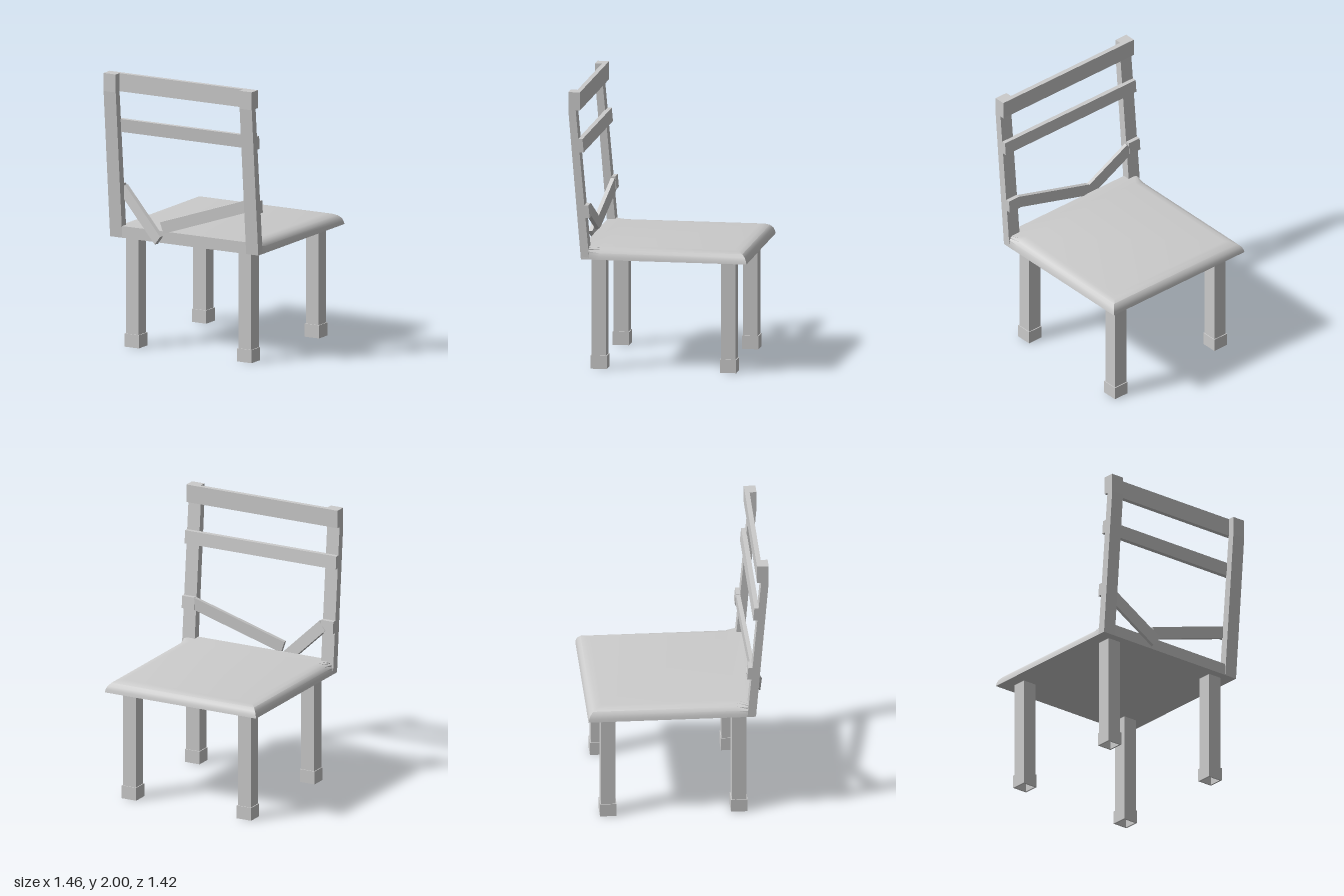
import * as THREE from 'three';
import { toCreasedNormals } from 'three/addons/utils/BufferGeometryUtils.js';

const mat = new THREE.MeshStandardMaterial({ color: 0xcccccc });
const HALF = 0.61; // half width of the chair

export function createModel() {
  const model = new THREE.Group();
  const chair = new THREE.Group(); // chair faces its own +x, then turns slightly
  chair.name = 'chair';
  chair.rotation.y = 0.17;
  model.add(chair);

  const add = (name, geometry, x = 0, y = 0, z = 0) => {
    const mesh = new THREE.Mesh(geometry, mat);
    mesh.name = name;
    mesh.position.set(x, y, z);
    chair.add(mesh);
    return mesh;
  };

  // Side profile (x, y) swept across the width from z0 to z1
  const sweep = (name, points, z0, z1) => {
    const shape = new THREE.Shape(points.map(([x, y]) => new THREE.Vector2(x, y)));
    add(name, new THREE.ExtrudeGeometry(shape, { depth: z1 - z0, bevelEnabled: false }), 0, 0, z0);
  };

  add('seat', seatGeometry());

  // Legs with hollow, slightly wider feet
  const square = (P, w) => new P([[-w, -w], [w, -w], [w, w], [-w, w]].map(([x, y]) => new THREE.Vector2(x, y)));
  const footShape = square(THREE.Shape, 0.059);
  footShape.holes.push(square(THREE.Path, 0.048));
  const footGeo = new THREE.ExtrudeGeometry(footShape, { depth: 0.095, bevelEnabled: false }).rotateX(-Math.PI / 2);
  const legGeo = new THREE.BoxGeometry(0.105, 0.73, 0.105);
  for (const x of [-0.438, 0.49]) {
    for (const z of [-0.464, 0.464]) {
      const end = x > 0 ? 'front' : 'rear';
      add(end + 'Leg', legGeo, x, 0.445, z);
      add(end + 'Foot', footGeo, x, 0, z);
    }
  }

  // Leaning back posts with upright tops
  const postFront = (y) => -0.49 - 0.0907 * (Math.min(y, 1.87) - 0.8);
  const post = [[-0.55, 0.8], [-0.49, 0.8], [postFront(1.87), 1.87], [postFront(2), 2], [-0.64, 2], [-0.64, 1.87]];
  // Board lying against the front of the posts
  const board = (name, y0, y1, z0, z1) => sweep(name, [
    [postFront(y0) - 0.004, y0], [postFront(y0) + 0.03, y0],
    [postFront(y1) + 0.03, y1], [postFront(y1) - 0.004, y1],
  ], z0, z1);

  for (const z of [-HALF, HALF - 0.1]) {
    sweep('backPost', post, z, z + 0.1);
    board('brokenSlatStub', 1.1, 1.19, z, z + 0.1);
  }
  board('topRail', 1.87, 2, -HALF, HALF);
  board('middleSlat', 1.57, 1.665, -HALF, HALF);

  // Two halves of the broken lower slat, hanging down from the stubs
  const plank = (from, to) => {
    const a = new THREE.Vector3(...from), b = new THREE.Vector3(...to);
    const mesh = add('brokenSlatHalf', new THREE.BoxGeometry(0.03, 0.085, a.distanceTo(b)));
    mesh.position.copy(a).add(b).multiplyScalar(0.5);
    mesh.quaternion.setFromRotationMatrix(new THREE.Matrix4().lookAt(b, a, THREE.Object3D.DEFAULT_UP));
  };
  plank([-0.508, 1.148, 0.525], [-0.563, 0.915, -0.17]);
  plank([-0.505, 1.148, -0.525], [-0.605, 0.83, -0.175]);

  return model;
}

// Seat board: rounded over at the front and sides, square at the rear corners
function seatGeometry() {
  const levels = [[0, 0.8], [0.004, 0.822], [0.014, 0.845], [0.035, 0.867], [0.065, 0.88], [0.1, 0.885]];
  const rings = levels.map(([d, y]) => {
    const side = [[-0.55, -HALF], [-0.42, -HALF + d], [0.637 - d, -HALF + d]];
    const mirrored = side.map(([x, z]) => [x, -z]).reverse();
    return [...side, ...mirrored].map(([x, z]) => [x, y, z]);
  });
  const pos = [];
  const quad = (a, b, c, d) => pos.push(...a, ...b, ...c, ...a, ...c, ...d);
  for (let i = 0; i < rings.length - 1; i++) {
    for (let j = 0; j < 6; j++) {
      const k = (j + 1) % 6;
      quad(rings[i][j], rings[i + 1][j], rings[i + 1][k], rings[i][k]);
    }
  }
  const b = rings[0], t = rings[rings.length - 1];
  quad(b[0], b[1], b[4], b[5]);
  quad(b[1], b[2], b[3], b[4]);
  quad(t[5], t[4], t[1], t[0]);
  quad(t[4], t[3], t[2], t[1]);
  const geo = new THREE.BufferGeometry();
  geo.setAttribute('position', new THREE.Float32BufferAttribute(pos, 3));
  return toCreasedNormals(geo, 0.7);
}
